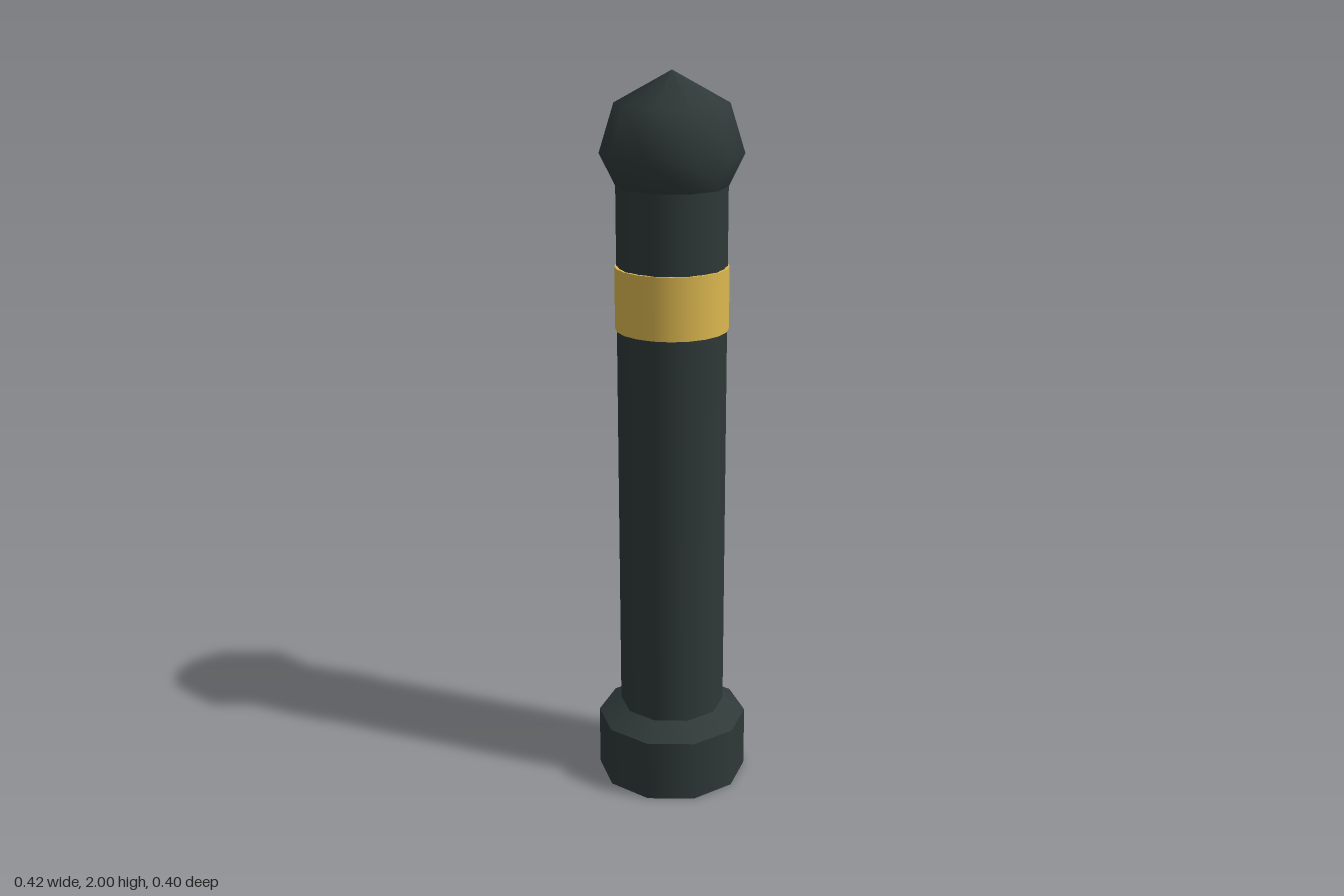
import * as THREE from 'three';

const iron = new THREE.MeshStandardMaterial({ color: 0x2f3938 });
iron.name = 'dark iron';
const gold = new THREE.MeshStandardMaterial({ color: 0xdcb850 });
gold.name = 'gold band';

// Revolve a [radius, height] profile, listed from bottom to top, with a corner on the x axis
function turned(name, profile, material, sides = 10) {
  const points = profile.map(([r, y]) => new THREE.Vector2(r, y));
  const mesh = new THREE.Mesh(new THREE.LatheGeometry(points, sides, Math.PI / 2), material);
  mesh.name = name;
  return mesh;
}

export function createModel() {
  const model = new THREE.Group();
  model.name = 'bollard';

  // Foot: separate rings keep its edges sharp
  const foot = new THREE.Group();
  foot.name = 'foot';
  foot.add(
    turned('footUnderside', [[0, 0], [0.212, 0]], iron),
    turned('footWall', [[0.212, 0], [0.212, 0.175]], iron),
    turned('footBevel', [[0.212, 0.175], [0.148, 0.215]], iron)
  );
  model.add(foot);

  // Post and its rounded head
  model.add(turned('post', [[0.148, 0.215], [0.148, 1.705]], iron));
  model.add(turned('head', [[0.148, 1.705], [0.19, 1.79], [0.15, 1.918], [0, 2]], iron));

  // Thin band around the post, with closed rims
  const band = new THREE.Group();
  band.name = 'band';
  band.add(
    turned('bandLowerRim', [[0.145, 1.325], [0.153, 1.325]], gold, 20),
    turned('bandWall', [[0.153, 1.325], [0.153, 1.495]], gold, 20),
    turned('bandUpperRim', [[0.153, 1.495], [0.145, 1.495]], gold, 20)
  );
  model.add(band);

  return model;
}
